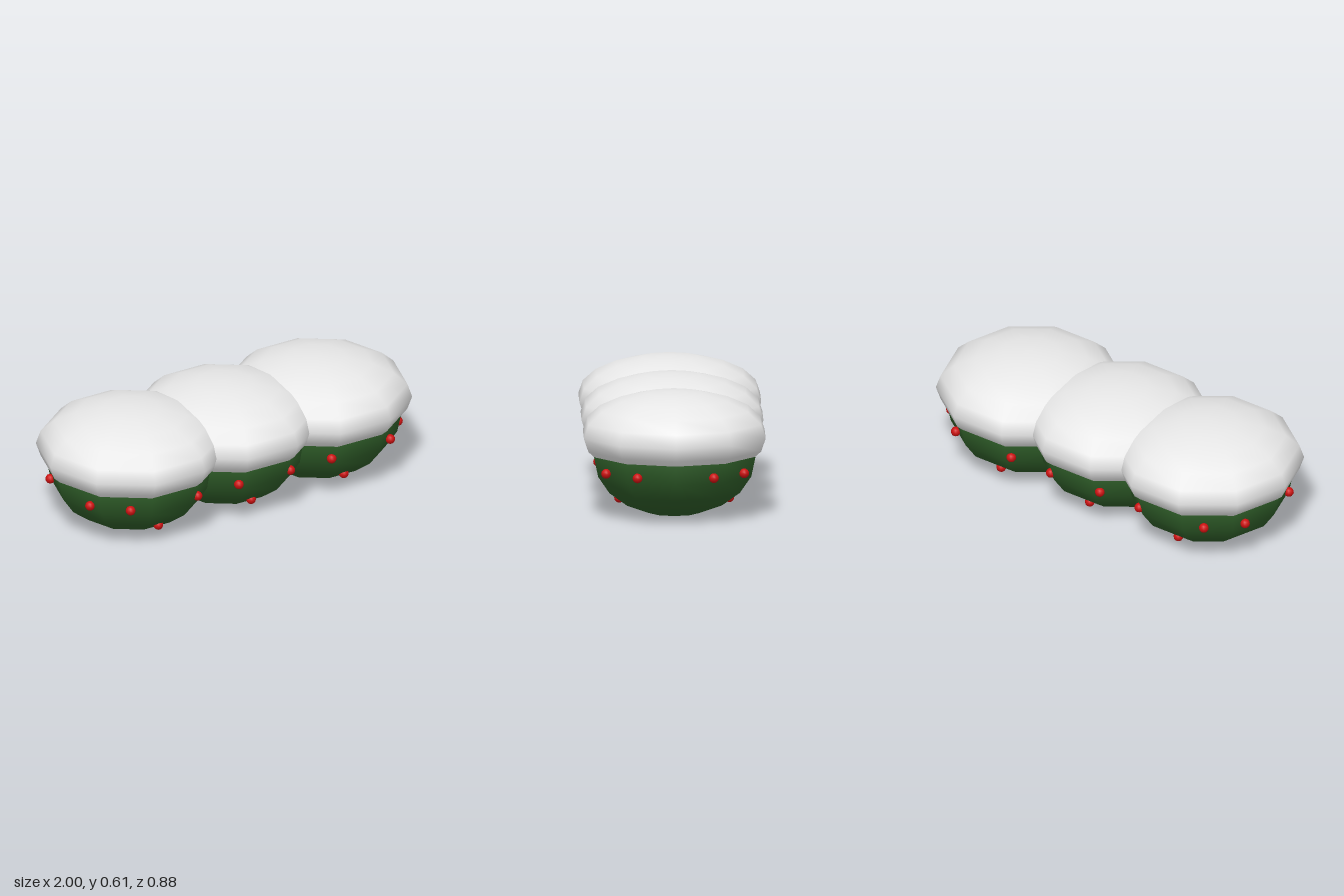
import * as THREE from 'three';

export function createModel() {
  const group = new THREE.Group();
  group.name = 'snowyShrubRow';

  const mat = (name, color) => {
    const m = new THREE.MeshStandardMaterial({ color });
    m.name = name;
    return m;
  };
  const snow = mat('snow white', 0xeeeeee);
  const leaf = mat('leaf green', 0x2d5a27);
  const red = mat('berry red', 0xcc1111);

  const roundGeo = new THREE.SphereGeometry(1, 10, 10);
  const berryGeo = new THREE.SphereGeometry(0.024, 12, 8);

  const add = (parent, name, geo, material, pos, scale = [1, 1, 1]) => {
    const mesh = new THREE.Mesh(geo, material);
    mesh.name = name;
    mesh.position.set(...pos);
    mesh.scale.set(...scale);
    parent.add(mesh);
  };

  // Berry angles in degrees around each shrub, same at front and back
  const shrubs = [
    { name: 'rightShrub', x: -0.535, angles: [68, 123, 153] },
    { name: 'middleShrub', x: 0, angles: [68, 112] },
    { name: 'leftShrub', x: 0.535, angles: [28, 58, 112] },
  ];

  for (const { name, x, angles } of shrubs) {
    const shrub = new THREE.Group();
    shrub.name = name;
    shrub.position.x = x;

    // Leafy body and the snow cap sitting over it
    add(shrub, 'foliage', roundGeo, leaf, [0, 0.302, 0], [0.412, 0.301, 0.412]);
    add(shrub, 'snowCap', roundGeo, snow, [0, 0.4, 0], [0.465, 0.212, 0.465]);

    for (const side of [1, -1]) {
      // Ring of berries under the snow
      for (const deg of angles) {
        const a = THREE.MathUtils.degToRad(deg);
        add(shrub, 'berry', berryGeo, red,
          [0.396 * Math.cos(a), 0.239, side * 0.396 * Math.sin(a)]);
      }
      // Low berry near the ground
      add(shrub, 'lowBerry', berryGeo, red, [-0.015, 0.084, side * 0.268]);
    }
    group.add(shrub);
  }
  return group;
}
